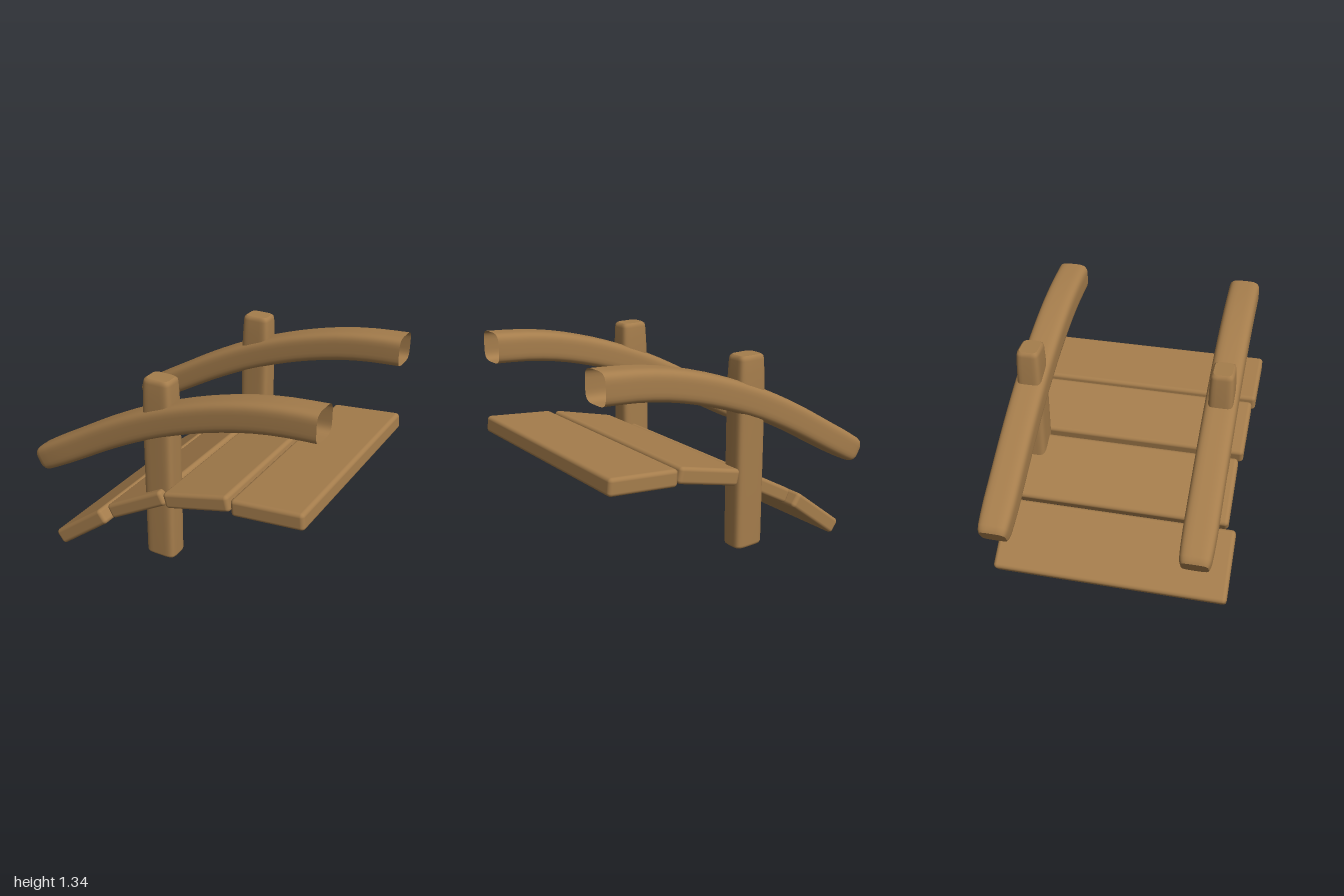
import * as THREE from 'three';
import { RoundedBoxGeometry } from 'three/addons/geometries/RoundedBoxGeometry.js';

const wood = new THREE.MeshStandardMaterial({ color: 0xa57d4c, side: THREE.DoubleSide });
const SIDES = 32;
const V = (x, y, z) => new THREE.Vector3(x, y, z);

// Lofts rounded-square sections { c, u, v, a, b, p }, where u x v points along the loft
function loft(sections, capStart, capEnd) {
  const pos = [], idx = [];
  const ring = ({ c, u, v, a, b, p = 4 }) => {
    const start = pos.length / 3;
    for (let j = 0; j < SIDES; j++) {
      const t = ((j + 0.5) / SIDES) * Math.PI * 2;
      const round = (k) => Math.sign(k) * Math.abs(k) ** (2 / p);
      const q = c.clone().addScaledVector(u, a * round(Math.cos(t))).addScaledVector(v, b * round(Math.sin(t)));
      pos.push(q.x, q.y, q.z);
    }
    return start;
  };
  const starts = sections.map(ring);
  for (let i = 0; i < starts.length - 1; i++) {
    for (let j = 0; j < SIDES; j++) {
      const k = (j + 1) % SIDES, s = starts[i], e = starts[i + 1];
      idx.push(s + j, s + k, e + k, s + j, e + k, e + j);
    }
  }
  const cap = (section, flip) => {
    const s = ring(section), m = pos.length / 3;
    pos.push(section.c.x, section.c.y, section.c.z);
    for (let j = 0; j < SIDES; j++) {
      const k = (j + 1) % SIDES;
      if (flip) idx.push(m, s + k, s + j);
      else idx.push(m, s + j, s + k);
    }
  };
  if (capStart) cap(sections[0], true);
  if (capEnd) cap(sections[sections.length - 1], false);
  const g = new THREE.BufferGeometry();
  g.setAttribute('position', new THREE.Float32BufferAttribute(pos, 3));
  g.setIndex(idx);
  g.computeVertexNormals();
  return g;
}

// Curved handrail: tapered closed lower end, open upper end cut upright
function railGeometry() {
  const curve = new THREE.CatmullRomCurve3([
    V(-0.97, 0.535, 0), V(-0.68, 0.7, 0), V(-0.4, 0.86, 0), V(-0.14, 0.99, 0), V(0.08, 1.08, 0),
    V(0.32, 1.16, 0), V(0.57, 1.222, 0), V(0.78, 1.253, 0), V(1, 1.268, 0),
  ]);
  const steps = [0, 0.008, 0.02, 0.05];
  for (let i = 2; i <= 20; i++) steps.push(i === 2 ? 0.1 : i / 20);
  const sections = steps.map((t, i) => {
    const d = t === 1 ? V(1, 0, 0) : curve.getTangentAt(t);
    return {
      c: curve.getPointAt(t), u: V(-d.y, d.x, 0), v: V(0, 0, 1),
      a: [0.063, 0.078, 0.084, 0.087][i] ?? 0.089 + 0.008 * t,
      b: [0.083, 0.091, 0.096, 0.1][i] ?? 0.103,
    };
  });
  return loft(sections, true, false);
}

// Upright post: softened foot and a slightly tapered head; rows are [y, half x, half z]
function postGeometry() {
  const rows = [
    [0.1, 0.09, 0.066], [0.106, 0.097, 0.073], [0.12, 0.101, 0.078], [0.5, 0.101, 0.079],
    [1.08, 0.101, 0.079], [1.2, 0.096, 0.077], [1.28, 0.092, 0.073], [1.3, 0.088, 0.069], [1.31, 0.075, 0.058],
  ];
  return loft(rows.map(([y, hx, hz]) => ({
    c: V(-0.045, y, 0), u: V(0, 0, 1), v: V(1, 0, 0), a: hz, b: hx, p: 5,
  })), true, true);
}

// Deck board, thinning a little at both ends
function plankGeometry(length, thickness, width) {
  const g = new RoundedBoxGeometry(length, thickness, width, 4, 0.026);
  const p = g.attributes.position;
  for (let i = 0; i < p.count; i++) {
    const end = Math.abs(p.getZ(i)) / (width / 2);
    p.setY(i, p.getY(i) * (1 - 0.1 * end * end));
  }
  return g;
}

export function createModel() {
  const model = new THREE.Group();
  model.name = 'halfFootbridge';
  const add = (name, geometry) => {
    const mesh = new THREE.Mesh(geometry, wood);
    mesh.name = name;
    model.add(mesh);
    return mesh;
  };

  // Deck boards climbing toward +x: [x, y, angle in degrees, length, thickness, width]
  [
    [-0.583, 0.193, 37.2, 0.465, 0.113, 1.51],
    [-0.18, 0.454, 29, 0.467, 0.108, 1.4],
    [0.273, 0.627, 14, 0.46, 0.115, 1.45],
    [0.753, 0.702, 5.5, 0.468, 0.12, 1.49],
  ].forEach(([x, y, angle, length, thickness, width], i) => {
    const plank = add(`plank${i + 1}`, plankGeometry(length, thickness, width));
    plank.position.set(x, y, 0);
    plank.rotation.z = THREE.MathUtils.degToRad(angle);
  });

  // A handrail and post on each side
  const rail = railGeometry(), post = postGeometry();
  [['front', 0.57], ['back', -0.65]].forEach(([side, z]) => {
    add(`${side}Rail`, rail).position.z = z;
    add(`${side}Post`, post).position.z = z;
  });
  return model;
}
